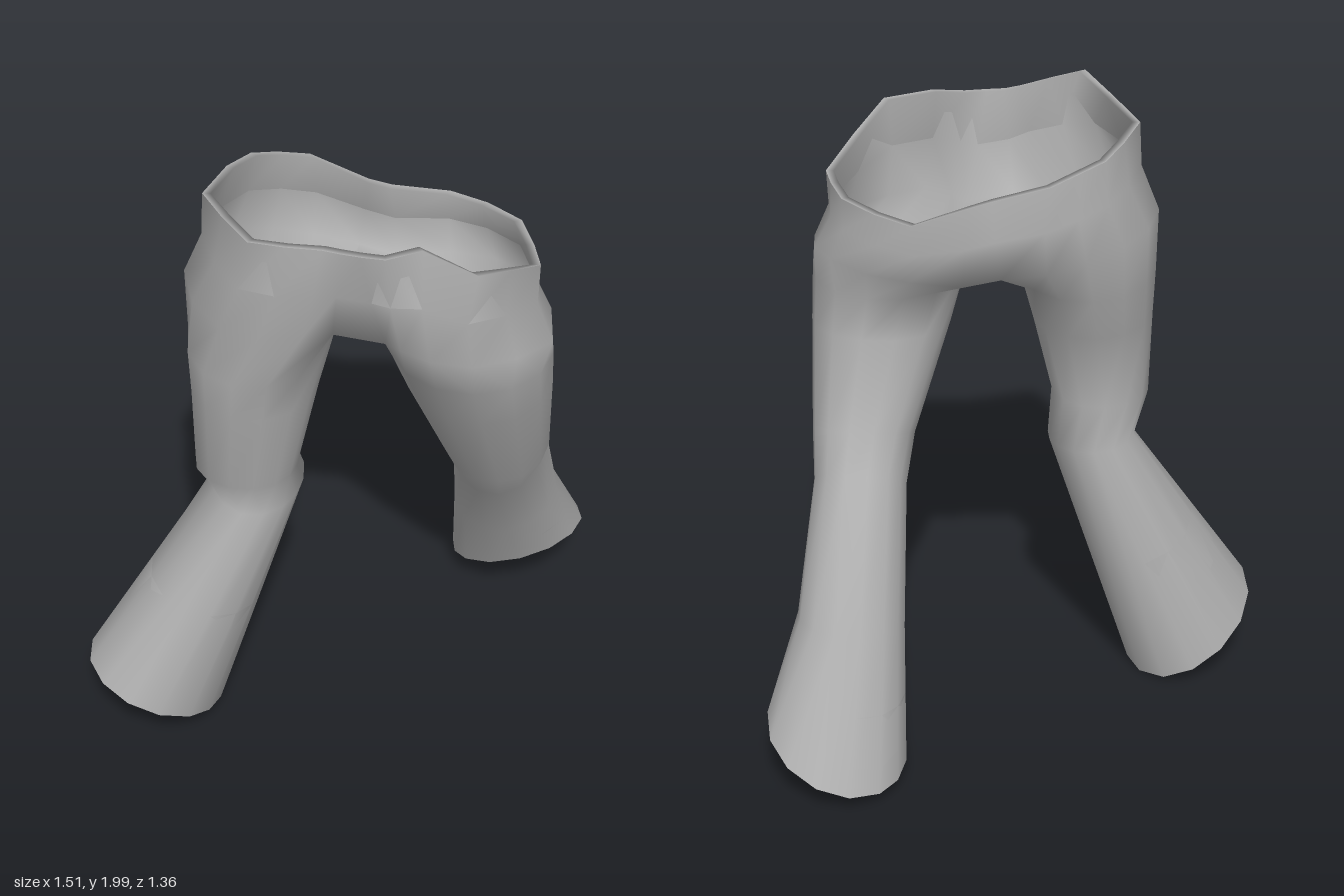
import * as THREE from 'three';
import { mergeGeometries, mergeVertices } from 'three/addons/utils/BufferGeometryUtils.js';

const V = (p) => new THREE.Vector3(...p);

// Skin rows of equal length, listed from top to bottom
function loft(rows, closed = true) {
  const n = rows[0].length, index = [];
  for (let r = 0; r < rows.length - 1; r++) {
    for (let i = 0; i < (closed ? n : n - 1); i++) {
      const a = r * n + i, a1 = r * n + (i + 1) % n;
      index.push(a + n, a1 + n, a1, a + n, a1, a);
    }
  }
  const g = new THREE.BufferGeometry().setFromPoints(rows.flat());
  g.setIndex(index);
  return g;
}

// Tilted oval around a leg; wide outer arc of 10 steps, inner arc of 4
function oval(start, [cx, cy, cz, rx, rz, sx = 0, sz = 0]) {
  return Array.from({ length: 14 }, (_, i) => {
    const deg = start + (i <= 10 ? 27 * i : 270 + 22.5 * (i - 10));
    const a = THREE.MathUtils.degToRad(deg);
    const dx = rx * Math.sin(a), dz = rz * Math.cos(a);
    return new THREE.Vector3(cx + dx, cy + sx * dx + sz * dz, cz + dz);
  });
}

// Ring moved level towards its own centre
function inset(ring, amount) {
  const c = ring.reduce((s, p) => s.add(p), new THREE.Vector3()).divideScalar(ring.length);
  return ring.map((p) => p.clone().add(c.clone().sub(p).setY(0).setLength(amount)));
}

const blend = (a, b, t) => a.map((p, i) => p.clone().lerp(b[i], t));

export function createModel() {
  const group = new THREE.Group();
  group.name = 'trousers';
  const cloth = new THREE.MeshStandardMaterial({ color: 0xb0b0b0, side: THREE.DoubleSide });
  cloth.name = 'grey cloth';

  const add = (name, geometry) => {
    geometry.computeVertexNormals();
    const mesh = new THREE.Mesh(geometry, cloth);
    mesh.name = name;
    group.add(mesh);
  };

  // Waist edge: left half front to back, then right half back to front
  const waist = [
    [0.14, 1.945, 0.575], [0.21, 1.94, 0.57], [0.31, 1.955, 0.53], [0.47, 1.91, 0.56],
    [0.55, 1.84, 0.42], [0.62, 1.77, 0.28], [0.59, 1.77, 0.18], [0.54, 1.77, 0.06],
    [0.43, 1.76, -0.03], [0.31, 1.75, -0.09], [0.14, 1.79, -0.035],
    [0.07, 1.81, -0.025], [-0.11, 1.87, -0.04], [-0.20, 1.90, 0.01], [-0.27, 1.92, 0.06],
    [-0.32, 1.94, 0.17], [-0.36, 1.945, 0.33], [-0.27, 1.97, 0.48], [-0.17, 2, 0.63],
    [-0.07, 1.98, 0.61], [0.03, 1.96, 0.58], [0.08, 1.95, 0.575],
  ].map(V);

  // Hip line where the legs begin
  const hip = [
    [0.20, 1.59, 0.49], [0.25, 1.60, 0.53], [0.34, 1.60, 0.57], [0.46, 1.58, 0.55],
    [0.58, 1.56, 0.46], [0.67, 1.53, 0.32], [0.65, 1.55, 0.18], [0.58, 1.57, 0.05],
    [0.46, 1.56, -0.03], [0.32, 1.55, -0.06], [0.16, 1.53, -0.04],
    [0.04, 1.56, -0.04], [-0.10, 1.58, -0.04], [-0.22, 1.61, -0.01], [-0.33, 1.64, 0.06],
    [-0.40, 1.65, 0.18], [-0.425, 1.66, 0.32], [-0.37, 1.66, 0.47], [-0.27, 1.65, 0.57],
    [-0.15, 1.65, 0.60], [-0.03, 1.64, 0.57], [0.05, 1.62, 0.51],
  ].map(V);

  // Slightly drawn-in sides and fuller front and seat between waist and hip
  const middle = blend(waist, hip, 0.5);
  for (const m of middle) {
    m.x = 0.11 + (m.x - 0.11) * 0.95;
    m.z = 0.27 + (m.z - 0.27) * 1.04;
  }

  // Narrow crotch strip between the legs: its two edges, front to back
  const seamLeft = [[0.19, 1.57, 0.36], [0.18, 1.55, 0.20], [0.17, 1.54, 0.06]].map(V);
  const seamRight = [[0.05, 1.60, 0.36], [0.045, 1.58, 0.20], [0.04, 1.56, 0.06]].map(V);
  const crotch = loft([
    [hip[0], ...seamLeft, hip[10]],
    [hip[21], ...seamRight, hip[11]],
  ], false);

  // Leg rings: centre x, y, z, radius x, z, slope along x, z
  const legs = [
    {
      name: 'left', start: -45,
      top: [...hip.slice(0, 11), ...seamLeft.slice().reverse()],
      rings: [
        [0.427, 1.45, 0.265, 0.243, 0.245, 0, 0],
        [0.447, 1.30, 0.21, 0.222, 0.22, 0, -0.1],
        [0.495, 0.96, 0.085, 0.165, 0.14, 0, -0.44],
        [0.49, 0.85, -0.055, 0.148, 0.16, 0, -0.65],
        [0.50, 0.47, -0.27, 0.17, 0.18, 0.1, -0.2],
        [0.53, 0.14, -0.45, 0.22, 0.235, 0.36, 0.25],
      ],
    },
    {
      name: 'right', start: 135,
      top: [...hip.slice(11), ...seamRight],
      rings: [
        [-0.203, 1.45, 0.32, 0.217, 0.265],
        [-0.218, 1.30, 0.33, 0.195, 0.225],
        [-0.245, 1.00, 0.365, 0.158, 0.142],
        [-0.222, 0.88, 0.28, 0.14, 0.182, 0, -0.1],
        [-0.55, 0.125, 0.415, 0.21, 0.268, -0.45, 0.28],
      ],
    },
  ];

  // Seat, crotch and both legs joined into one smooth shell
  const parts = [loft([waist, middle, hip]), crotch];
  for (const leg of legs) {
    const rings = leg.rings.map((r) => oval(leg.start, r));
    parts.push(loft([leg.top, ...rings]));
    // Turned-in cloth edge, tapering into the leg
    const [above, hem] = rings.slice(-2);
    add(leg.name + 'Hem', loft([hem, inset(hem, 0.012), blend(hem, above, 0.5)]));
  }
  add('seatAndLegs', mergeVertices(mergeGeometries(parts)));

  // Thickness of the cloth at the waist, tapering into the seat
  add('waistRim', loft([middle, inset(waist, 0.025), waist]));

  return group;
}
